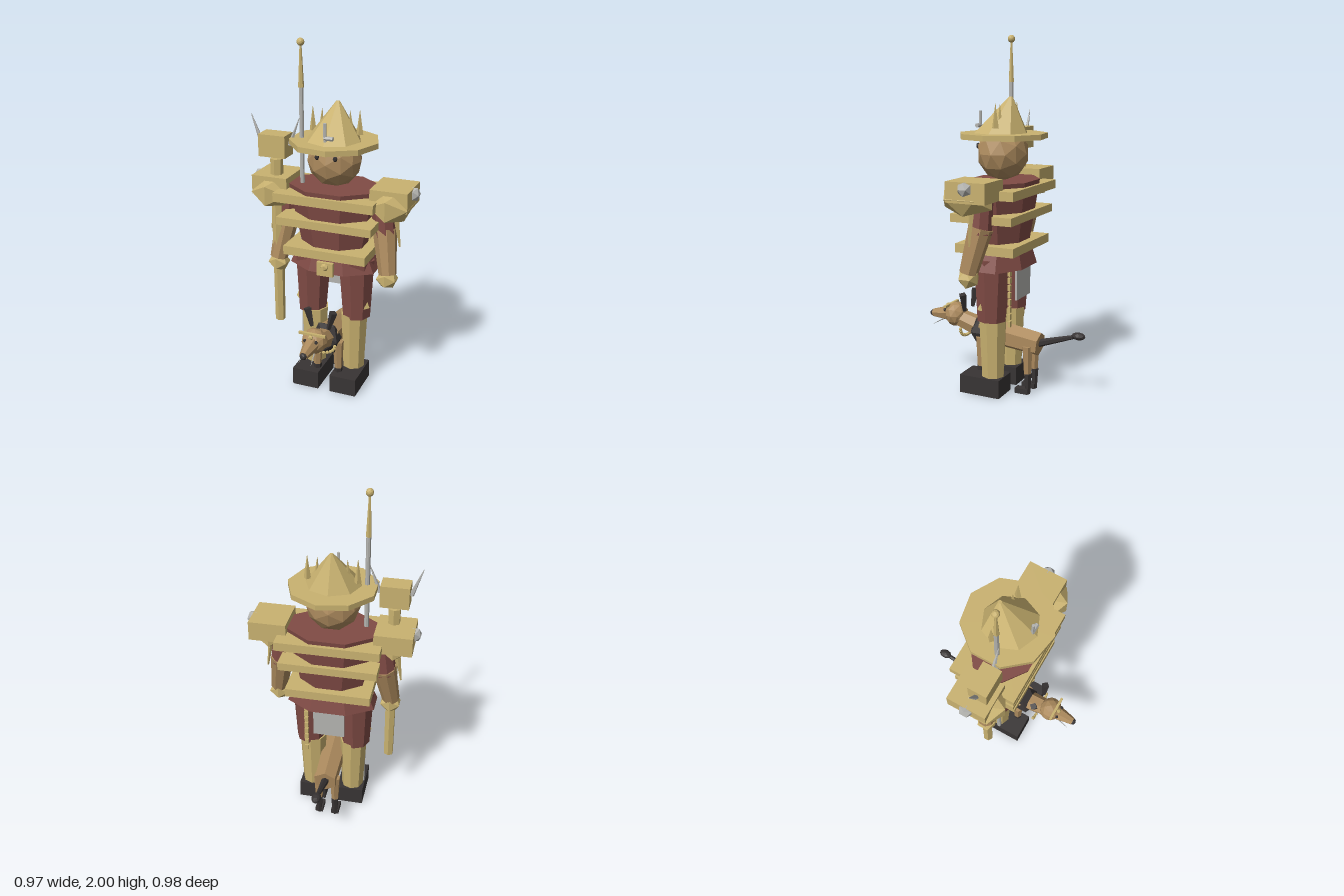
import * as THREE from 'three';

const mat = (name, color) => {
  const m = new THREE.MeshStandardMaterial({ color, flatShading: true });
  m.name = name;
  return m;
};

export function createModel() {
  const gold = mat('gold', 0xc9b270), tan = mat('tan', 0xad8b5e), red = mat('dark red', 0x804b45);
  const black = mat('black', 0x383434), silver = mat('silver', 0xb4b4b0);
  const root = new THREE.Group();
  root.name = 'guardWithDog';

  const add = (name, geo, m, x = 0, y = 0, z = 0, parent = root) => {
    const mesh = new THREE.Mesh(geo, m);
    mesh.name = name;
    mesh.position.set(x, y, z);
    parent.add(mesh);
    return mesh;
  };
  // Box given by its min and max corners
  const box = (name, m, x0, x1, y0, y1, z0, z1, parent) =>
    add(name, new THREE.BoxGeometry(x1 - x0, y1 - y0, z1 - z0), m,
      (x0 + x1) / 2, (y0 + y1) / 2, (z0 + z1) / 2, parent);
  // Faceted ball, optionally stretched
  const ball = (name, m, p, rx, ry = rx, rz = rx, detail = 0, parent = root) => {
    const b = add(name, new THREE.IcosahedronGeometry(1, detail), m, ...p, parent);
    b.scale.set(rx, ry, rz);
    return b;
  };
  // Tapered rod from a to b
  const rod = (name, m, a, b, ra, rb, sides = 6, parent = root) => {
    const A = new THREE.Vector3(...a), B = new THREE.Vector3(...b);
    const d = B.clone().sub(A);
    const mesh = add(name, new THREE.CylinderGeometry(rb, ra, d.length(), sides), m,
      ...A.clone().add(B).multiplyScalar(0.5).toArray(), parent);
    mesh.quaternion.setFromUnitVectors(new THREE.Vector3(0, 1, 0), d.normalize());
    return mesh;
  };
  // Eight-sided tapered block with flat front and sides
  const octagon = (name, m, y0, y1, w0, w1, depth, x, z) => {
    const g = new THREE.CylinderGeometry(w1, w0, y1 - y0, 8);
    g.rotateY(Math.PI / 8);
    g.scale(1 / Math.cos(Math.PI / 8), 1, depth / Math.cos(Math.PI / 8));
    return add(name, g, m, x, (y0 + y1) / 2, z);
  };

  // Torso, hips and armour bands
  octagon('torso', red, 0.8, 1.21, 0.165, 0.245, 0.73, 0, 0.01);
  octagon('hips', red, 0.73, 0.85, 0.25, 0.2, 0.61, 0, 0);
  box('chestBand', gold, -0.288, 0.288, 1.135, 1.185, -0.187, 0.205);
  box('middleBand', gold, -0.275, 0.275, 1.0, 1.045, -0.17, 0.195);
  box('waistBand', gold, -0.24, 0.24, 0.825, 0.875, -0.165, 0.185);
  box('buckle', gold, -0.048, 0.048, 0.72, 0.8, 0.145, 0.168);
  ball('buckleStud', gold, [0, 0.775, 0.165], 0.025);

  // Head, eyes and hat
  ball('head', tan, [0, 1.355, 0.01], 0.153, 0.153, 0.142, 1);
  const brim = add('hatBrim', new THREE.CylinderGeometry(0.248, 0.248, 0.03, 9), gold, 0, 1.452, 0.01);
  brim.rotation.y = Math.PI / 18;
  const crownGeo = new THREE.CylinderGeometry(0.01, 0.159, 0.205, 8);
  const p = crownGeo.attributes.position;
  for (let i = 0; i < p.count; i++) if (p.getY(i) > 0) p.setZ(i, p.getZ(i) - 0.062);
  add('hatCrown', crownGeo, gold, 0, 1.5625, 0.025);
  rod('hatBadgePost', silver, [0, 1.46, 0.15], [0, 1.585, 0.15], 0.009, 0.009);
  rod('hatBadgeArm', silver, [-0.005, 1.505, 0.15], [0.045, 1.505, 0.15], 0.012, 0.012);

  for (const s of [-1, 1]) {
    ball('eye', black, [s * 0.052, 1.395, 0.138], 0.013, 0.018, 0.012);
    rod('outerHatSpike', gold, [s * 0.135, 1.5, -0.01], [s * 0.135, 1.63, -0.01], 0.02, 0.001, 4);
    rod('innerHatSpike', gold, [s * 0.085, 1.5, -0.01], [s * 0.08, 1.625, -0.01], 0.018, 0.001, 4);

    // Shoulders and arms
    box('shoulderPlate', gold, s * 0.345 - 0.105, s * 0.345 + 0.105, 1.135, 1.245, -0.105, 0.125);
    ball('shoulderGuard', gold, [s * 0.345, 1.15, 0.045], 0.125, 0.105, 0.165);
    ball('shoulderStud', silver, [s * 0.452, 1.21, 0.01], 0.036, 0.042, 0.042);
    rod('upperArm', red, [s * 0.27, 1.16, 0], [s * 0.295, 0.95, 0.005], 0.06, 0.065, 8);
    rod('forearm', tan, [s * 0.29, 0.985, 0], [s * 0.33, 0.74, 0.055], 0.068, 0.05, 8);
    rod('armSpike', gold, [s * 0.355, 1.1, 0.02], [s * 0.385, 0.9, 0.02], 0.018, 0.005, 4);
    ball('hand', gold, [s * 0.328, 0.715, 0.055], 0.064, 0.06, 0.062);

    // Legs
    rod('trouserLeg', red, [s * 0.135, 0.435, 0.015], [s * 0.13, 0.79, 0.01], 0.083, 0.108, 8);
    rod('shin', gold, [s * 0.12, 0.09, 0.015], [s * 0.122, 0.45, 0.015], 0.064, 0.08, 8);
    box('boot', black, s * 0.115 - 0.079, s * 0.115 + 0.079, 0, 0.105, -0.055, 0.19);
    rod('legCharm', gold, [s * 0.2, 0.505, 0.045], [s * 0.195, 0.575, 0.045], 0.026, 0.003, 4);
  }

  // Hanging plate and chain behind
  box('backPlate', silver, -0.09, 0.09, 0.55, 0.74, -0.118, -0.106);
  for (let i = 0; i < 8; i++) {
    const y = 0.41 + i * 0.041;
    box('chainLink', gold, 0.125, 0.147, y, y + 0.032, -0.103, -0.087);
  }

  // Hammer with horned head
  const hammer = new THREE.Group();
  hammer.name = 'hammer';
  root.add(hammer);
  rod('hammerShaft', gold, [-0.33, 0.34, 0.055], [-0.328, 1.335, 0.055], 0.029, 0.036, 6, hammer);
  box('hammerHead', gold, -0.408, -0.25, 1.355, 1.48, 0.008, 0.116, hammer);
  for (const s of [-1, 1])
    rod('hammerHorn', silver, [-0.328 + s * 0.085, 1.42, 0.06], [-0.328 + s * 0.143, 1.575, 0.06],
      0.014, 0.002, 5, hammer);

  // Tall spear
  rod('spearShaft', silver, [-0.178, 0.1, 0.045], [-0.178, 1.77, 0.045], 0.014, 0.013, 8);
  rod('spearTip', gold, [-0.178, 1.74, 0.045], [-0.178, 1.975, 0.045], 0.016, 0.005, 6);
  ball('spearBall', gold, [-0.178, 1.978, 0.045], 0.021, 0.022, 0.021, 1);

  // Dog
  const dog = new THREE.Group();
  dog.name = 'dog';
  root.add(dog);
  rod('dogBody', tan, [0, 0.285, -0.22], [0, 0.33, 0.14], 0.068, 0.078, 6, dog);
  ball('dogHarness', black, [0, 0.32, 0.14], 0.092, 0.105, 0.075, 0, dog);
  rod('dogNeck', tan, [0, 0.33, 0.15], [0, 0.375, 0.3], 0.062, 0.052, 7, dog);
  ball('dogHead', tan, [0, 0.393, 0.315], 0.074, 0.074, 0.068, 1, dog);
  rod('dogSnout', tan, [0, 0.392, 0.355], [0, 0.38, 0.47], 0.048, 0.024, 7, dog);
  ball('dogNose', black, [0, 0.38, 0.47], 0.021, 0.021, 0.021, 1, dog);
  box('dogHeadband', gold, -0.078, 0.078, 0.443, 0.456, 0.342, 0.357, dog);
  ball('headbandGem', gold, [0, 0.44, 0.37], 0.015, 0.015, 0.015, 0, dog);
  for (let i = 0; i <= 12; i++) {
    const a = Math.PI * (1 + i / 12);
    ball('collarBead', gold, [0.09 * Math.cos(a), 0.335 + 0.055 * Math.sin(a), 0.24],
      0.011, 0.011, 0.011, 0, dog);
  }
  for (const s of [-1, 1]) {
    ball('dogEye', black, [s * 0.033, 0.418, 0.374], 0.011, 0.011, 0.011, 0, dog);
    rod('dogEar', black, [s * 0.05, 0.435, 0.235], [s * 0.078, 0.54, 0.23], 0.012, 0.024, 4, dog);
    rod('dogFang', silver, [s * 0.03, 0.36, 0.39], [s * 0.036, 0.322, 0.455], 0.004, 0.001, 4, dog);
    rod('frontLeg', tan, [s * 0.065, 0.12, 0.12], [s * 0.065, 0.3, 0.12], 0.022, 0.032, 6, dog);
    rod('frontStocking', black, [s * 0.065, 0, 0.12], [s * 0.065, 0.13, 0.12], 0.022, 0.024, 6, dog);
    rod('hindLeg', tan, [s * 0.048, 0.11, -0.165], [s * 0.048, 0.28, -0.165], 0.021, 0.032, 6, dog);
    rod('hindStocking', black, [s * 0.048, 0, -0.168], [s * 0.048, 0.12, -0.168], 0.014, 0.023, 6, dog);
    box('hindPaw', black, s * 0.048 - 0.022, s * 0.048 + 0.022, 0, 0.03, -0.175, -0.095, dog);
  }
  rod('dogTail', black, [0, 0.29, -0.21], [0, 0.36, -0.43], 0.023, 0.011, 6, dog);
  ball('tailTuft', black, [0, 0.365, -0.45], 0.027, 0.021, 0.04, 1, dog);

  return root;
}
